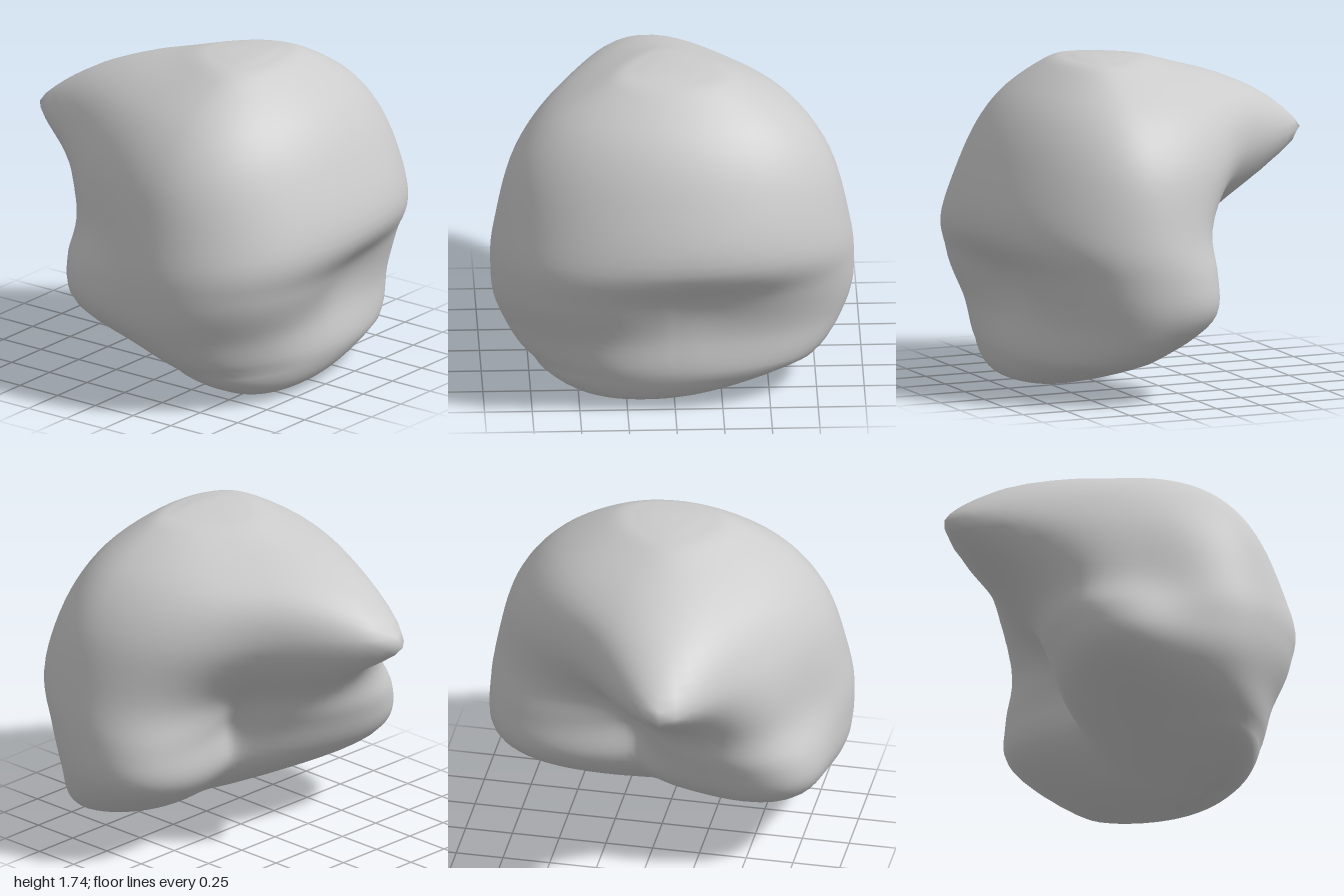
import * as THREE from 'three';
import { mergeVertices } from 'three/addons/utils/BufferGeometryUtils.js';

// Oval sections from bottom to top: height, centre z, half width, front reach, back reach
const SECTIONS = [
  [0, 0.56, 0, 0, 0],
  [0.05, 0.55, 0.37, 0.17, 0.17],
  [0.2, 0.42, 0.74, 0.38, 0.36],
  [0.42, 0.3, 0.9, 0.51, 0.6],
  [0.65, 0.3, 0.94, 0.61, 0.69],
  [0.88, 0.3, 0.93, 0.7, 0.65],
  [1.24, 0.3, 0.84, 0.58, 0.75],
  [1.5, 0.3, 0.65, 0.42, 0.69],
  [1.69, 0.3, 0.35, 0.19, 0.34],
  [1.73, 0.28, 0.18, 0.09, 0.18],
  [1.74, 0.27, 0, 0, 0],
];

// Swellings and dents; bearing in degrees turns from the front (+z) towards +x
const FEATURES = [
  { bearing: 188, y: 1.24, amount: 0.56, spread: 20, height: 0.35, power: 1.35 }, // pointed tip
  { bearing: 158, y: 0.6, amount: -0.36, spread: 31, height: 0.32, power: 2 }, // hollow under the tip
  { bearing: 231, y: 0.46, amount: 0.19, spread: 20, height: 0.3, power: 2 }, // right back lobe
  { bearing: 116, y: 0.5, amount: 0.1, spread: 21, height: 0.3, power: 2 }, // left back lobe
  { bearing: 218, y: 0.88, amount: 0.15, spread: 22, height: 0.35, power: 2 }, // ridge from tip to lobe
  { bearing: 308, y: 0.55, amount: 0.08, spread: 28, height: 0.3, power: 2 }, // fuller right cheek
  { bearing: 18, y: 0.62, amount: -0.08, spread: 38, height: 0.2, power: 2 }, // recess under the brow
];

const AROUND = 90;
const UP = (SECTIONS.length - 1) * 6;

const smooth = (pick) =>
  new THREE.CatmullRomCurve3(SECTIONS.map(pick), false, 'catmullrom');
const spine = smooth(([y, z]) => new THREE.Vector3(0, y, z));
const sizes = smooth(([, , width, front, back]) => new THREE.Vector3(width, front, back));

// Change in radius at a bearing and height caused by all features
function relief(bearing, y) {
  return FEATURES.reduce((sum, f) => {
    const d = Math.hypot((bearing - f.bearing) / f.spread, (y - f.y) / f.height);
    return sum + f.amount * Math.exp(-(d ** f.power));
  }, 0);
}

// Bearing measured the short way round, so that front features cross the 0/360 line
function skinRelief(bearing, y) {
  return relief(bearing, y) + (bearing > 270 ? relief(bearing - 360, y) : 0);
}

// Point on the skin: oval radius plus relief, fading out towards both poles
function skinPoint(bearing, t) {
  const centre = spine.getPoint(t);
  const { x: width, y: front, z: back } = sizes.getPoint(t);
  const a = THREE.MathUtils.degToRad(bearing);
  const depth = Math.cos(a) > 0 ? front : back;
  const oval = (width * depth) / Math.max(1e-6, Math.hypot(width * Math.cos(a), depth * Math.sin(a)));
  const radius = oval + skinRelief(bearing, centre.y) * Math.min(1, width / 0.5);
  const shift = -0.18 * Math.max(0, 1 - centre.y / 0.2);
  return [shift + radius * Math.sin(a), centre.y, centre.z + radius * Math.cos(a)];
}

function skinGeometry() {
  const positions = [];
  const index = [];
  for (let j = 0; j <= UP; j++) {
    for (let i = 0; i < AROUND; i++) {
      positions.push(...skinPoint((i * 360) / AROUND, j / UP));
      if (j === UP) continue;
      const next = (i + 1) % AROUND;
      const a = j * AROUND + i, b = j * AROUND + next;
      const c = b + AROUND, d = a + AROUND;
      if (j > 0) index.push(a, b, d);
      if (j < UP - 1) index.push(b, c, d);
    }
  }
  const geometry = new THREE.BufferGeometry();
  geometry.setAttribute('position', new THREE.Float32BufferAttribute(positions, 3));
  geometry.setIndex(index);
  const merged = mergeVertices(geometry);
  merged.computeVertexNormals();
  return merged;
}

export function createModel() {
  const model = new THREE.Group();
  model.name = 'pointedBlob';
  const body = new THREE.Mesh(skinGeometry(), new THREE.MeshStandardMaterial({ color: 0xcccccc }));
  body.name = 'body';
  model.add(body);
  return model;
}
